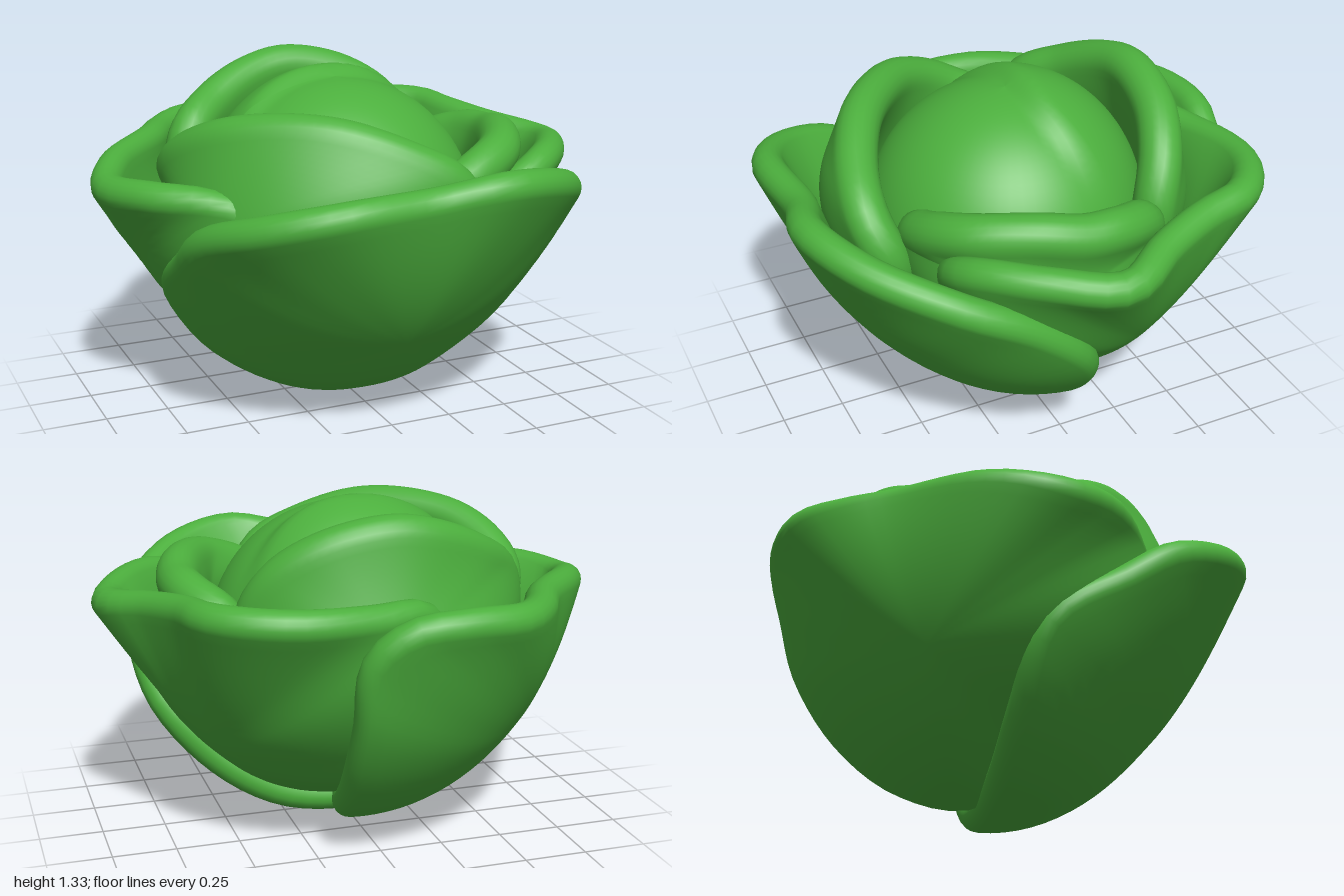
import * as THREE from 'three';
import { mergeVertices } from 'three/addons/utils/BufferGeometryUtils.js';

const { lerp, smoothstep, clamp } = THREE.MathUtils;
const SEGS = 72, RINGS = 16, ARC = 10;

// Thick cupped leaf wrapped around the point (0, hubY, 0), with a round rim.
// outline: points around the leaf edge, clockwise as seen from outside.
function leafGeometry({ hubY, centre, radius, thickness, outline }) {
  const hub = new THREE.Vector3(0, hubY, 0), half = thickness / 2;
  const edge = new THREE.CatmullRomCurve3(outline.map(p => new THREE.Vector3(...p)), true)
    .getSpacedPoints(SEGS).slice(0, SEGS).map(p => p.sub(hub));
  const mid = new THREE.Vector3(...centre).sub(hub).normalize();

  // middle of the leaf: k runs from its centre (0) to its edge (1); the top flares late
  const sheet = (k, j) => {
    const e = edge[(j + SEGS) % SEGS];
    const flare = lerp(Math.sin(k * Math.PI / 2) ** 2, k ** 2.6, clamp(e.y + hubY, 0, 1));
    const r = lerp(radius, e.length(), flare) - half;
    return e.clone().normalize().lerp(mid, 1 - k * (1 - half)).setLength(r);
  };

  // rings as [k, turn]: outside, round rim, inside
  const rings = [];
  for (let i = 0; i <= RINGS; i++) rings.push([i / RINGS, 0]);
  for (let i = 1; i < ARC; i++) rings.push([1, Math.PI * i / ARC]);
  for (let i = RINGS; i >= 0; i--) rings.push([i / RINGS, Math.PI]);

  const pos = [], index = [];
  rings.forEach(([k, turn], i) => {
    for (let j = 0; j < SEGS; j++) {
      const p = sheet(k, j), normal = mid.clone(), out = new THREE.Vector3();
      if (k > 0) {
        const along = sheet(k, j + 1).sub(sheet(k, j - 1)).normalize();
        const spread = p.clone().sub(sheet(k - 0.02, j));
        normal.crossVectors(along, spread).normalize();
        out.crossVectors(normal, along);
      }
      p.addScaledVector(normal, half * Math.cos(turn)).addScaledVector(out, half * Math.sin(turn));
      pos.push(p.x, p.y + hubY, p.z);
      if (i === rings.length - 1) continue;
      const a = i * SEGS + j, b = i * SEGS + (j + 1) % SEGS;
      index.push(a, b + SEGS, a + SEGS, a, b, b + SEGS);
    }
  });
  let g = new THREE.BufferGeometry();
  g.setAttribute('position', new THREE.Float32BufferAttribute(pos, 3));
  g.setIndex(index);
  g = mergeVertices(g, 1e-4);
  g.computeVertexNormals();
  return g;
}

// Round heart with one half folded slightly over the other along a wavy line
function heartGeometry() {
  const g = new THREE.SphereGeometry(0.56, 64, 48);
  const p = g.attributes.position;
  for (let i = 0; i < p.count; i++) {
    const x = p.getX(i), y = p.getY(i), z = p.getZ(i);
    const fold = -0.04 - 1.6 * x ** 3;
    const lift = 1 - smoothstep(z, fold - 0.06, fold + 0.06);
    p.setY(i, y + 0.05 * lift * Math.max(0, y / 0.56));
  }
  g.computeVertexNormals();
  return g.translate(-0.02, 0.74, 0);
}

const outer = { hubY: 0.95, thickness: 0.13 };
const inner = { hubY: 0.72, thickness: 0.17 };

const leaves = {
  outerFrontLeaf: {
    ...outer, centre: [0, 0.4, 0.63], radius: 0.835,
    outline: [
      [-0.81, 0.73, 0.3], [-0.8, 0.87, 0.5], [-0.66, 0.97, 0.76], [-0.42, 1.03, 0.91], [0, 1.04, 0.91],
      [0.28, 1.09, 0.95], [0.58, 1.04, 0.81], [0.8, 0.92, 0.52], [0.85, 0.77, 0.25],
      [0.8, 0.53, 0], [0.58, 0.25, -0.07], [0.3, 0.07, -0.09], [0, 0.02, -0.09],
      [-0.3, 0.07, -0.09], [-0.58, 0.25, -0.07], [-0.77, 0.53, 0],
    ],
  },
  outerRightLeaf: {
    ...outer, centre: [-0.6, 0.45, -0.4], radius: 0.88,
    outline: [
      [0.18, 0.9, -0.89], [0.06, 1.02, -0.94], [-0.15, 1.05, -0.96], [-0.4, 1.04, -0.91],
      [-0.55, 1.03, -0.77], [-0.67, 1.03, -0.58], [-0.92, 1.01, -0.25], [-1.0, 0.97, 0],
      [-0.89, 0.98, 0.25], [-0.7, 0.96, 0.4], [-0.54, 0.88, 0.48], [-0.5, 0.55, 0.38],
      [-0.26, 0.25, 0.15], [0.04, 0.06, -0.1], [0.14, 0.13, -0.39], [0.18, 0.33, -0.64], [0.19, 0.62, -0.82],
    ],
  },
  outerLeftLeaf: {
    ...outer, centre: [0.6, 0.45, -0.3], radius: 0.84,
    outline: [
      [0.48, 0.86, 0.5], [0.6, 0.96, 0.52], [0.72, 1.01, 0.46], [0.88, 1.02, 0.28], [1.0, 1.0, 0],
      [0.87, 1.03, -0.26], [0.77, 1.06, -0.5], [0.71, 1.08, -0.69], [0.56, 1.08, -0.82],
      [0.38, 1.07, -0.87], [0.1, 1.05, -0.83], [-0.12, 1.03, -0.75], [-0.2, 0.92, -0.68],
      [-0.18, 0.62, -0.62], [-0.1, 0.32, -0.47], [0, 0.13, -0.08], [0.28, 0.24, 0.16], [0.48, 0.52, 0.38],
    ],
  },
  innerRightLeaf: {
    ...inner, centre: [-0.55, 0.85, 0.35], radius: 0.77,
    outline: [
      [-0.61, 0.93, -0.31], [-0.72, 1.03, -0.12], [-0.71, 1.13, 0.05], [-0.61, 1.22, 0.25],
      [-0.42, 1.26, 0.44], [-0.2, 1.24, 0.59], [0.05, 1.14, 0.69], [0.25, 1.02, 0.71], [0.33, 0.86, 0.66],
      [0.2, 0.62, 0.58], [-0.2, 0.5, 0.5], [-0.48, 0.5, 0.3], [-0.58, 0.65, -0.1],
    ],
  },
  innerLeftLeaf: {
    ...inner, centre: [0.62, 0.8, 0.05], radius: 0.72,
    outline: [
      [0.2, 0.92, 0.56], [0.35, 1.01, 0.55], [0.54, 1.08, 0.44], [0.68, 1.1, 0.2], [0.73, 1.07, 0],
      [0.71, 1.05, -0.18], [0.6, 0.96, -0.37], [0.52, 0.7, -0.36], [0.56, 0.5, 0],
      [0.42, 0.5, 0.36], [0.25, 0.7, 0.52],
    ],
  },
  innerBackLeaf: {
    ...inner, centre: [0, 0.85, -0.6], radius: 0.74,
    outline: [
      [0.55, 0.98, -0.42], [0.46, 1.16, -0.48], [0.27, 1.29, -0.55], [0, 1.35, -0.58], [-0.2, 1.32, -0.56],
      [-0.44, 1.22, -0.46], [-0.62, 1.08, -0.3], [-0.64, 0.85, -0.3], [-0.46, 0.55, -0.42],
      [0, 0.5, -0.55], [0.4, 0.55, -0.44], [0.53, 0.8, -0.42],
    ],
  },
};

export function createModel() {
  const group = new THREE.Group();
  group.name = 'cabbage';
  const green = new THREE.MeshStandardMaterial({ color: 0x4caf3d });
  const addPart = (name, geometry) => {
    const mesh = new THREE.Mesh(geometry, green);
    mesh.name = name;
    group.add(mesh);
  };
  addPart('heart', heartGeometry());
  for (const [name, spec] of Object.entries(leaves)) addPart(name, leafGeometry(spec));

  // Stand on the ground, centred
  const box = new THREE.Box3().setFromObject(group);
  const c = box.getCenter(new THREE.Vector3());
  for (const part of group.children) part.position.set(-c.x, -box.min.y, -c.z);
  return group;
}
